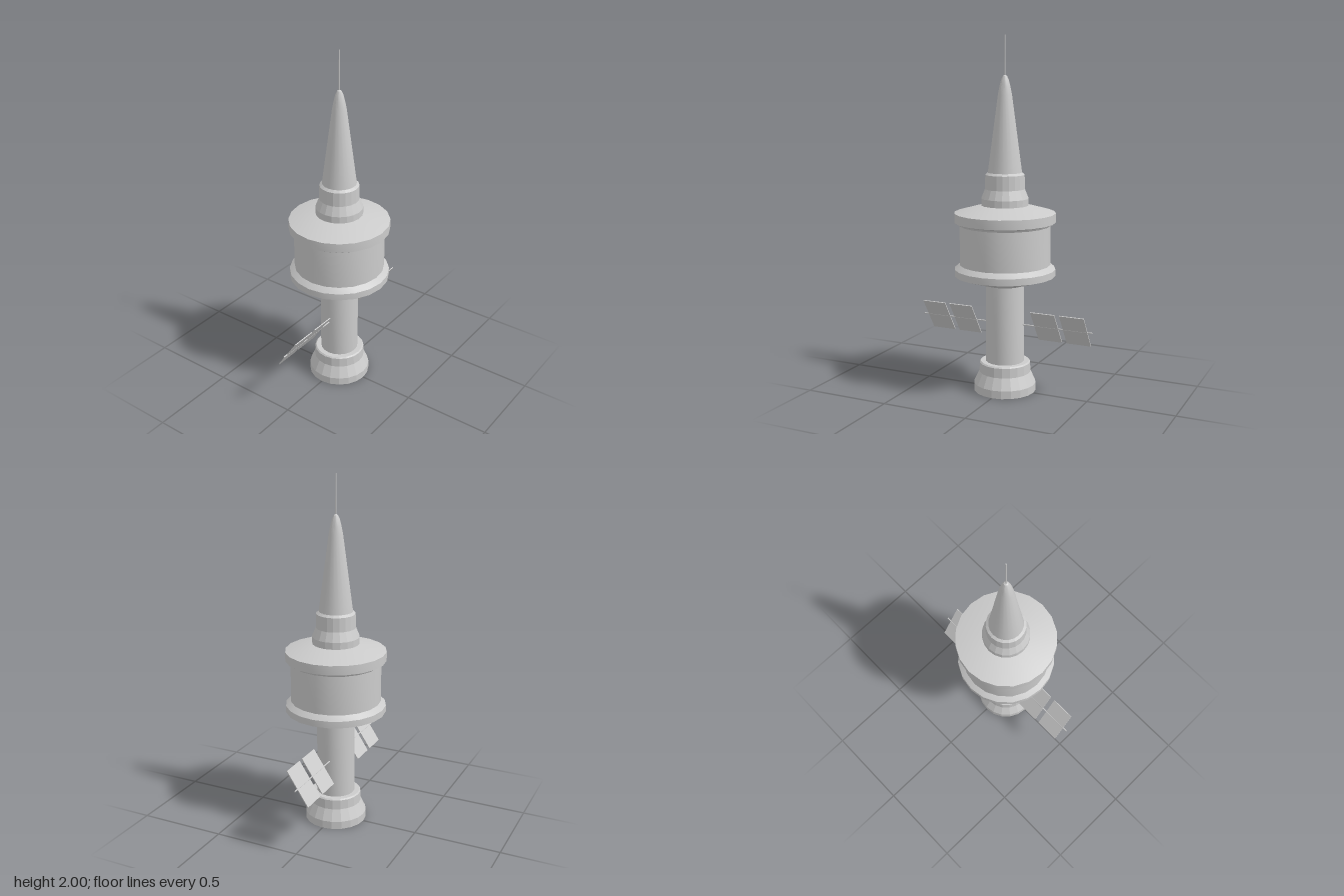
import * as THREE from 'three';
import { toCreasedNormals } from 'three/addons/utils/BufferGeometryUtils.js';

const SIDES = 20;
const smoothGrey = new THREE.MeshStandardMaterial({ color: 0xcccccc });
const facetedGrey = new THREE.MeshStandardMaterial({ color: 0xcccccc, flatShading: true });

// Turned part from [radius, height] pairs, listed bottom to top
function turned(name, profile, faceted = false) {
  const points = profile.map(([r, y]) => new THREE.Vector2(r, y));
  let geometry = new THREE.LatheGeometry(points, SIDES);
  if (!faceted) geometry = toCreasedNormals(geometry, 0.45);
  const mesh = new THREE.Mesh(geometry, faceted ? facetedGrey : smoothGrey);
  mesh.name = name;
  return mesh;
}

// One solar wing: a thin rod carrying two tilted panels
function solarWing(side, z) {
  const wing = new THREE.Group();
  wing.name = side > 0 ? 'leftSolarWing' : 'rightSolarWing';
  wing.position.set(0, 0.39, z);

  const rod = new THREE.Mesh(new THREE.CylinderGeometry(0.004, 0.004, 0.45, 8), smoothGrey);
  rod.name = 'wingRod';
  rod.rotation.z = Math.PI / 2;
  rod.position.x = side * 0.297;
  wing.add(rod);

  for (const x of [0.25, 0.422]) {
    const panel = new THREE.Mesh(new THREE.BoxGeometry(0.143, 0.226, 0.005), smoothGrey);
    panel.name = 'solarPanel';
    panel.rotation.x = 0.585;
    panel.position.x = side * x;
    wing.add(panel);
  }
  return wing;
}

export function createModel() {
  const model = new THREE.Group();
  model.name = 'spaceStation';

  // Flared foot and lower shaft
  model.add(turned('base', [
    [0, 0], [0.177, 0], [0.177, 0.045], [0.147, 0.11], [0.145, 0.165], [0.138, 0.172], [0, 0.172],
  ], true));
  model.add(turned('shaft', [[0.109, 0.16], [0.109, 0.63]]));

  // Wide drum between two bevelled rims
  model.add(turned('lowerRim', [
    [0, 0.617], [0.109, 0.617], [0.285, 0.672], [0.285, 0.71], [0.256, 0.735], [0, 0.735],
  ]));
  model.add(turned('drum', [[0.256, 0.73], [0.256, 0.97]]));
  model.add(turned('upperRim', [
    [0, 0.957], [0.256, 0.957], [0.262, 0.967], [0.285, 0.975], [0.285, 1.027], [0.13, 1.07], [0, 1.07],
  ]));

  // Stepped collar under the spire
  model.add(turned('collar', [
    [0.133, 1.06], [0.133, 1.108], [0.112, 1.16], [0.11, 1.24], [0.096, 1.252], [0, 1.252],
  ], true));

  // Spire with a rounded nose, and its antenna
  model.add(turned('spire', [
    [0.096, 1.25], [0.039, 1.68], [0.03, 1.725], [0.021, 1.76], [0.012, 1.78], [0, 1.787],
  ]));
  const antenna = new THREE.Mesh(new THREE.CylinderGeometry(0.003, 0.004, 0.23, 8), smoothGrey);
  antenna.name = 'antenna';
  antenna.position.y = 1.885;
  model.add(antenna);

  model.add(solarWing(1, -0.01), solarWing(-1, 0.004));
  return model;
}
